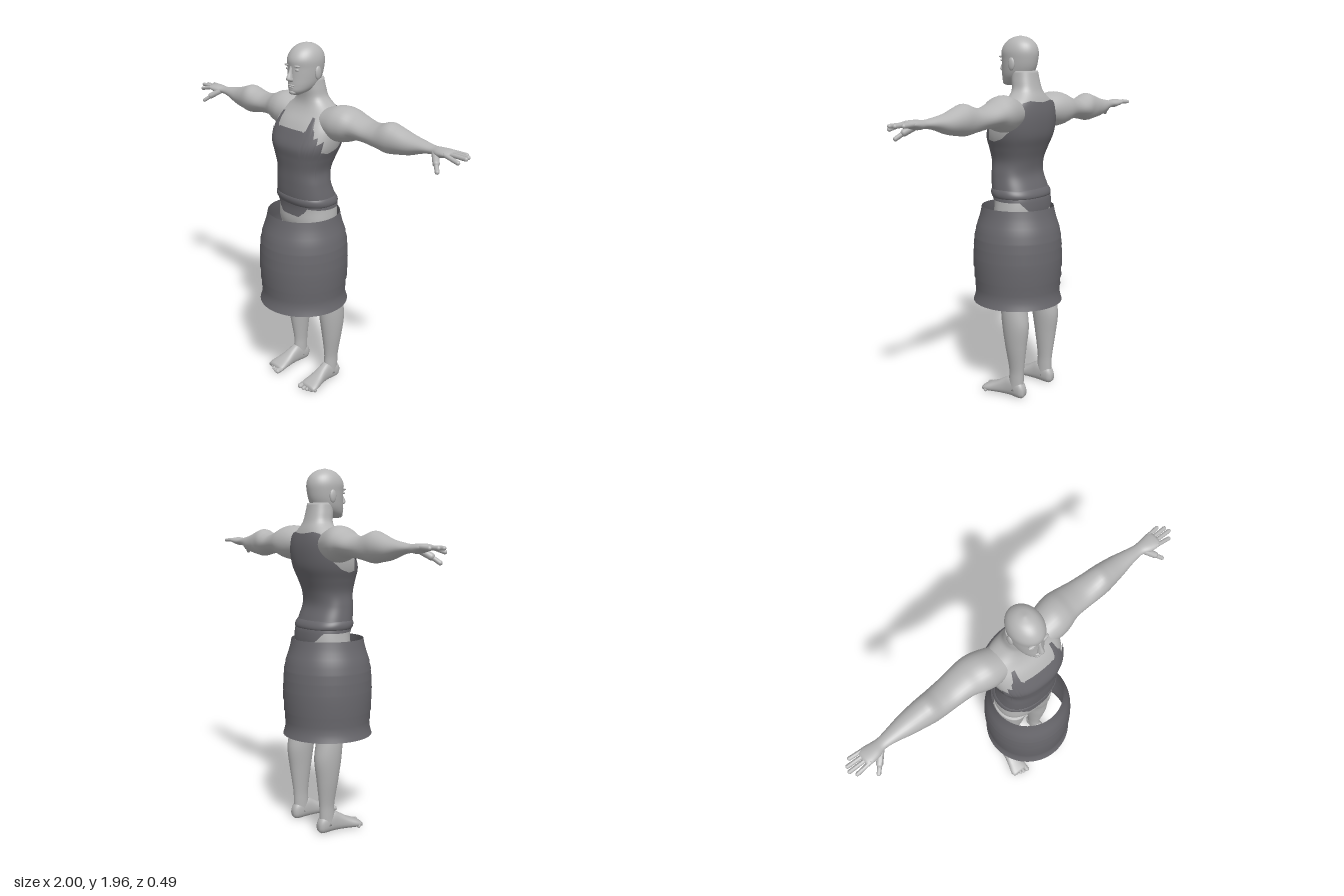
import * as THREE from 'three';

const skin = new THREE.MeshStandardMaterial({ color: 0xb6b6b6 });
skin.name = 'skin grey';
const cloth = new THREE.MeshStandardMaterial({ color: 0x69686d, side: THREE.DoubleSide });
cloth.name = 'dark cloth grey';

// Smooth interpolation of rows [t, u0, u1, v0, v1] along t
function sample(rows, t) {
  let i = 0;
  while (i < rows.length - 2 && t > rows[i + 1][0]) i++;
  const a = rows[i], b = rows[i + 1], p = rows[Math.max(i - 1, 0)], q = rows[Math.min(i + 2, rows.length - 1)];
  const h = b[0] - a[0], s = (t - a[0]) / h, s2 = s * s, s3 = s2 * s;
  return [1, 2, 3, 4].map(k => {
    const ma = (b[k] - p[k]) / (b[0] - p[0]), mb = (q[k] - a[k]) / (q[0] - a[0]);
    return (2 * s3 - 3 * s2 + 1) * a[k] + (s3 - 2 * s2 + s) * h * ma + (3 * s2 - 2 * s3) * b[k] + (s3 - s2) * h * mb;
  });
}

// Point on a rounded section; axis x uses (y,z), axis y uses (z,x), axis z uses (x,y)
function sectionPoint(axis, t, [u0, u1, v0, v1], angle, pow) {
  const f = w => Math.sign(w) * Math.abs(w) ** pow;
  const u = (u0 + u1) / 2 + (u1 - u0) / 2 * f(Math.cos(angle));
  const v = (v0 + v1) / 2 + (v1 - v0) / 2 * f(Math.sin(angle));
  return axis === 'x' ? [t, u, v] : axis === 'y' ? [v, t, u] : [u, v, t];
}

// Closed-round grid surface from a point function
function grid(rings, seg, point) {
  const pos = [], idx = [];
  for (let j = 0; j < rings; j++) for (let i = 0; i < seg; i++) pos.push(...point(j, i / seg * Math.PI * 2));
  for (let j = 0; j < rings - 1; j++) for (let i = 0; i < seg; i++) {
    const a = j * seg + i, b = j * seg + (i + 1) % seg, c = a + seg, d = b + seg;
    idx.push(a, b, d, a, d, c);
  }
  const g = new THREE.BufferGeometry();
  g.setAttribute('position', new THREE.Float32BufferAttribute(pos, 3));
  g.setIndex(idx);
  g.computeVertexNormals();
  return g;
}

// Solid body through the rows, capped at both ends
function loft(axis, rows, steps = 40, seg = 32, pow = 1) {
  const t0 = rows[0][0], t1 = rows[rows.length - 1][0];
  return grid(steps + 3, seg, (j, angle) => {
    const k = Math.min(Math.max(j - 1, 0), steps), t = t0 + (t1 - t0) * k / steps;
    let r = sample(rows, t);
    if (j === 0 || j === steps + 2) {
      const u = (r[0] + r[1]) / 2, v = (r[2] + r[3]) / 2;
      r = [u, u, v, v];
    }
    return sectionPoint(axis, t, r, angle, pow);
  });
}

function mirrored(geo) {
  const g = geo.clone().scale(-1, 1, 1), id = g.index.array;
  for (let i = 0; i < id.length; i += 3) [id[i], id[i + 1]] = [id[i + 1], id[i]];
  g.computeVertexNormals();
  return g;
}

function ellipsoid(x, y, z, rx, ry, rz) {
  return new THREE.SphereGeometry(1, 16, 12).scale(rx, ry, rz).translate(x, y, z);
}

// Round-ended digit between two points
function digit(p, q, r) {
  const a = new THREE.Vector3(...p), b = new THREE.Vector3(...q), d = b.clone().sub(a);
  const g = new THREE.CapsuleGeometry(r, d.length(), 5, 10);
  g.applyQuaternion(new THREE.Quaternion().setFromUnitVectors(new THREE.Vector3(0, 1, 0), d.normalize()));
  const m = a.add(b).multiplyScalar(0.5);
  return g.translate(m.x, m.y, m.z);
}

// y, back, front, right, left
const torsoRows = [
  [0.90, .05, -.10, .13], [1.0, .09, -.15, .172], [1.1, .092, -.155, .17], [1.17, .102, -.13, .162],
  [1.24, .106, -.105, .152], [1.31, .109, -.112, .146], [1.38, .118, -.135, .168], [1.44, .124, -.157, .192],
  [1.5, .102, -.165, .203], [1.56, .07, -.165, .2], [1.61, .03, -.157, .175], [1.645, .012, -.147, .125],
  [1.68, .008, -.133, .088], [1.73, .015, -.12, .077], [1.78, .02, -.11, .07],
].map(([y, f, b, w]) => [y, b, f, -w, w]);
const TORSO_POW = 0.85;

// Height of a cloth edge by angle from the front, the same on both sides
function edge(table, angle) {
  const d = Math.min(angle, Math.PI * 2 - angle) * 180 / Math.PI;
  let i = 0;
  while (i < table.length - 2 && d > table[i + 1][0]) i++;
  const [a, ya] = table[i], [b, yb] = table[i + 1];
  return ya + (yb - ya) * Math.min(1, (d - a) / (b - a));
}

// Cloth layer lying on the torso between two edges
function garment(bottom, top, offset, rings) {
  return grid(rings + 1, 180, (j, angle) => {
    const s = j / rings, y = edge(bottom, angle) * (1 - s) + edge(top, angle) * s;
    const [z0, z1, x0, x1] = sample(torsoRows, y), o = offset(s);
    return sectionPoint('y', y, [z0 - o, z1 + o, x0 - o, x1 + o], angle, TORSO_POW);
  });
}

export function createModel() {
  const model = new THREE.Group();
  const add = (name, geo, mat = skin) => {
    const m = new THREE.Mesh(geo, mat);
    m.name = name;
    model.add(m);
  };
  const pair = (name, geo, mat) => {
    add(name + 'Left', geo, mat);
    add(name + 'Right', mirrored(geo), mat);
  };

  // Torso and neck
  add('torso', loft('y', torsoRows, 70, 48, TORSO_POW));

  // Head and face
  add('head', loft('y', [
    [1.703, .03, .07, .02], [1.72, -.03, .088, .046], [1.75, -.08, .09, .066], [1.79, -.105, .088, .077],
    [1.84, -.118, .088, .083], [1.88, -.12, .09, .084], [1.915, -.107, .073, .073], [1.94, -.08, .045, .053],
    [1.953, -.052, .015, .03], [1.958, -.025, -.01, .008],
  ].map(([y, b, f, w]) => [y, b, f, -w, w]), 44, 40));
  add('nose', loft('y', [
    [1.772, .07, .092, -.012, .012], [1.782, .07, .113, -.017, .017], [1.792, .07, .116, -.014, .014],
    [1.82, .07, .102, -.009, .009], [1.85, .07, .09, -.008, .008],
  ], 16, 16));
  add('upperLip', ellipsoid(0, 1.754, .086, .024, .005, .009));
  add('lowerLip', ellipsoid(0, 1.745, .086, .02, .006, .009));
  add('chin', ellipsoid(0, 1.718, .075, .024, .014, .018));
  pair('brow', ellipsoid(.034, 1.852, .078, .025, .006, .01));
  pair('eye', ellipsoid(.034, 1.834, .077, .014, .007, .008));
  pair('ear', ellipsoid(.084, 1.815, -.022, .01, .034, .02));

  // Arms, running into the palms
  pair('arm', loft('x', [
    [.1, 1.50, 1.63, -.14, .02], [.2, 1.475, 1.662, -.172, .03], [.26, 1.482, 1.658, -.183, .02],
    [.32, 1.503, 1.633, -.18, 0], [.4, 1.505, 1.613, -.172, -.008], [.47, 1.495, 1.62, -.165, -.01],
    [.53, 1.485, 1.64, -.157, -.012], [.58, 1.491, 1.628, -.155, -.02], [.66, 1.505, 1.604, -.148, -.035],
    [.74, 1.532, 1.59, -.13, -.05], [.8, 1.543, 1.583, -.119, -.055], [.84, 1.54, 1.587, -.122, -.04],
    [.885, 1.55, 1.587, -.126, -.034], [.91, 1.557, 1.582, -.122, -.038],
  ], 70, 28));
  const fingers = [[-.114, -.12, .955], [-.091, -.094, .983], [-.068, -.068, .99], [-.045, -.042, .968]];
  fingers.forEach(([z0, z1, x], i) =>
    pair('finger' + (i + 1), digit([.89, 1.57, z0], [x, i === 3 ? 1.552 : 1.569, z1], .0105)));
  pair('thumbBase', digit([.82, 1.56, -.065], [.862, 1.528, -.025], .017));
  pair('thumb', digit([.855, 1.533, -.03], [.892, 1.5, .002], .011));

  // Legs and feet
  pair('leg', loft('y', [
    [.04, -.137, -.045, .1, .165], [.1, -.138, -.048, .1, .165], [.16, -.14, -.05, .1, .166],
    [.3, -.157, -.03, .088, .188], [.42, -.17, -.012, .076, .2], [.52, -.155, -.003, .07, .2],
    [.6, -.145, .005, .055, .19], [.75, -.145, .04, .02, .182], [.95, -.145, .07, .003, .172],
  ], 50, 28));
  pair('foot', loft('z', [
    [-.15, .115, .15, .015, .06], [-.132, .102, .163, 0, .09], [-.06, .1, .165, 0, .115], [-.02, .099, .17, 0, .098],
    [.03, .093, .184, 0, .068], [.075, .087, .197, 0, .048], [.105, .089, .196, .002, .034],
  ], 30, 28, 0.85));
  for (let i = 0; i < 5; i++) {
    const r = i ? .0105 : .015, x = i ? .105 + i * .021 : .102;
    pair('toe' + (i + 1), digit([x, r + .004, .085], [x, r, .118 - i * i * .0022], r));
  }

  // Torn sleeveless top, waistband and briefs
  const tornEdge = [
    [0, 1.53], [20, 1.53], [21, 1.52], [27, 1.54], [29, 1.6], [36, 1.595], [37, 1.55], [43, 1.53], [44, 1.50],
    [53, 1.51], [54, 1.47], [66, 1.49], [67, 1.43], [85, 1.42], [100, 1.44], [115, 1.48], [125, 1.55],
    [132, 1.62], [150, 1.63], [180, 1.62],
  ];
  const flat = y => [[0, y], [180, y]];
  add('top', garment(flat(1.15), tornEdge, () => .008, 40), cloth);
  add('waistband', garment(flat(1.113), flat(1.168), s => .014 * Math.sin(Math.PI * s) ** 0.5, 12), cloth);
  const legOpening = [
    [0, 1.055], [17, 1.055], [24, 1.075], [28, 1.08], [36, 1.108], [90, 1.1], [130, 1.1], [150, 1.055], [180, 1.03],
  ];
  add('briefs', garment(legOpening, flat(1.13), () => .006, 10), cloth);

  // Open barrel skirt with soft horizontal folds and a flared hem
  const profile = [
    [.247, .522], [.241, .54], [.235, .565], [.233, .6], [.238, .61], [.237, .65], [.243, .66], [.242, .71],
    [.246, .72], [.245, .77], [.246, .78], [.243, .83], [.244, .84], [.239, .88], [.24, .89], [.232, .92],
    [.231, .935], [.221, .965], [.211, .995], [.203, 1.025], [.197, 1.057],
  ].map(p => new THREE.Vector2(...p));
  add('skirt', new THREE.LatheGeometry(profile, 64), cloth);

  return model;
}
